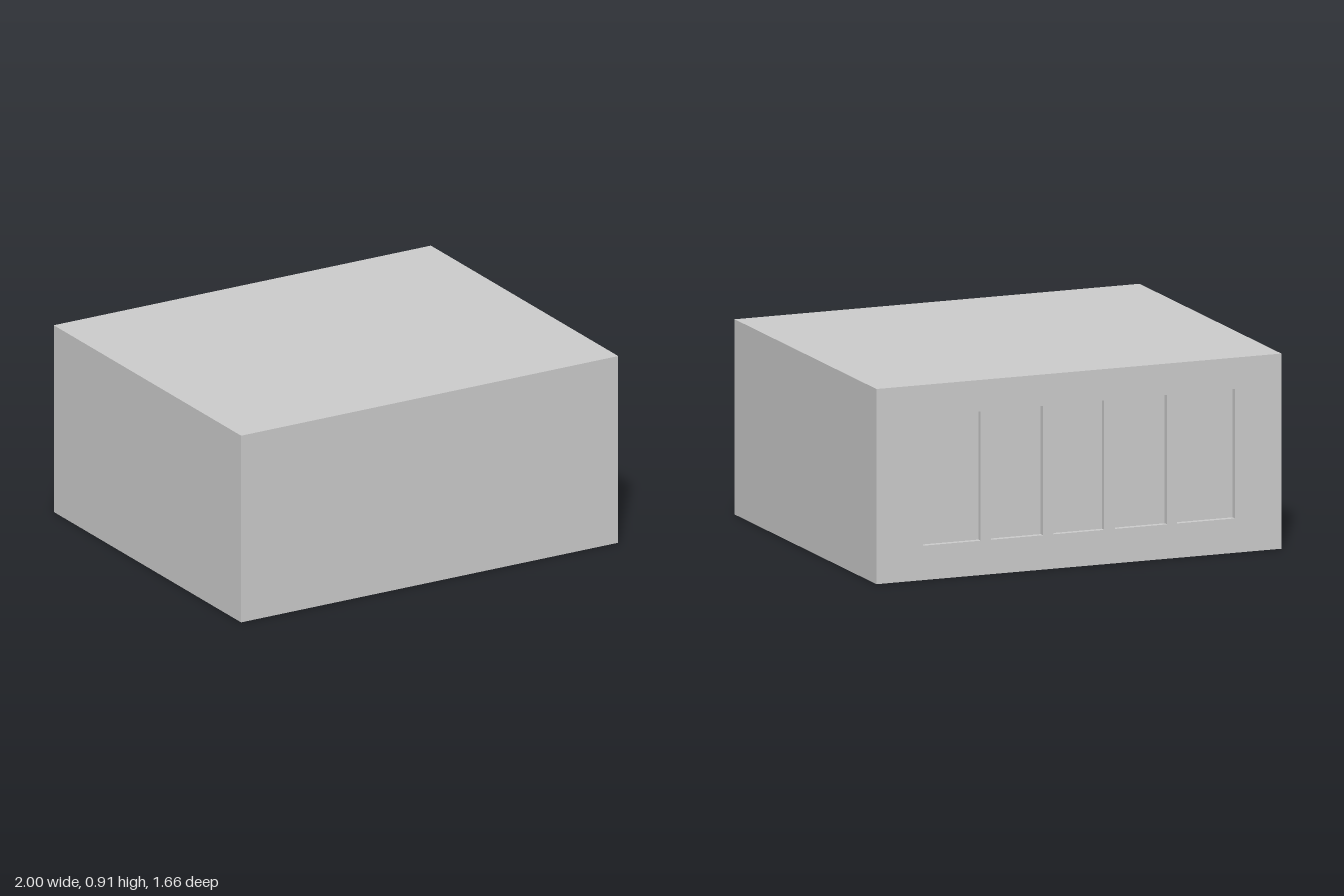
import * as THREE from 'three';

const W = 2, H = 0.908, D = 1.66;   // overall block
const RECESS = 0.027;               // depth of the window niches
const Y0 = 0.16, Y1 = 0.762;        // sill and head heights
const WINDOWS = [[-0.77, -0.485], [-0.435, -0.178], [-0.125, 0.125], [0.178, 0.435], [0.485, 0.77]];

// Box without its -z face
function openBox(w, h, d) {
  const geo = new THREE.BoxGeometry(w, h, d);
  geo.setIndex(Array.from(geo.index.array).slice(0, 30));
  geo.clearGroups();
  return geo;
}

// Open box turned inside out, so its faces look into the niche
function nicheGeometry(w, h, d) {
  const geo = openBox(w, h, d);
  geo.scale(-1, 1, 1);
  geo.computeVertexNormals();
  return geo;
}

export function createModel() {
  const group = new THREE.Group();
  const material = new THREE.MeshStandardMaterial({ color: 0xcccccc });
  const add = (name, geo, x, y, z) => {
    const mesh = new THREE.Mesh(geo, material);
    mesh.name = name;
    mesh.position.set(x, y, z);
    group.add(mesh);
    return mesh;
  };

  // Front, sides, roof and floor
  add('buildingBody', openBox(W, H, D), 0, H / 2, 0);

  // Back wall pierced by the window openings (symmetric about x = 0)
  const wall = new THREE.Shape();
  wall.moveTo(-W / 2, 0).lineTo(W / 2, 0).lineTo(W / 2, H).lineTo(-W / 2, H).closePath();
  for (const [a, b] of WINDOWS) {
    const hole = new THREE.Path();
    hole.moveTo(a, Y0).lineTo(a, Y1).lineTo(b, Y1).lineTo(b, Y0).closePath();
    wall.holes.push(hole);
  }
  add('backWall', new THREE.ShapeGeometry(wall), 0, 0, -D / 2).rotation.y = Math.PI;

  // Recessed window panes with their reveals
  WINDOWS.forEach(([a, b], i) => {
    add(`window${i + 1}`, nicheGeometry(b - a, Y1 - Y0, RECESS),
      (a + b) / 2, (Y0 + Y1) / 2, -D / 2 + RECESS / 2);
  });

  return group;
}
